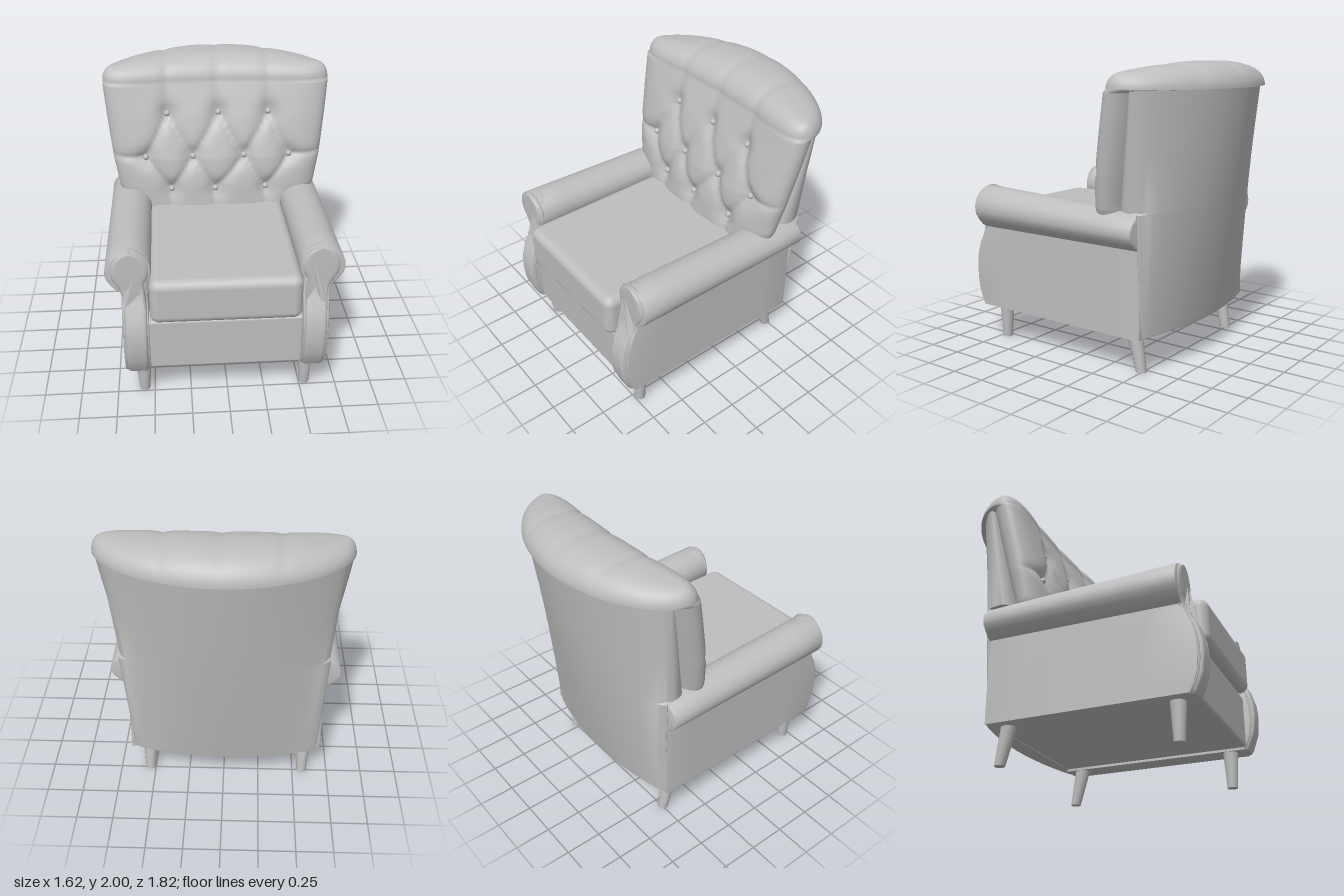
import * as THREE from 'three';
import { toCreasedNormals } from 'three/addons/utils/BufferGeometryUtils.js';
import { RoundedBoxGeometry } from 'three/addons/geometries/RoundedBoxGeometry.js';

const upholstery = new THREE.MeshStandardMaterial({ color: 0xbebebe });
upholstery.name = 'grey upholstery';

function add(parent, name, geometry) {
  const mesh = new THREE.Mesh(geometry, upholstery);
  mesh.name = name;
  parent.add(mesh);
  return mesh;
}

// piecewise linear lookup in [[key, value], ...]
function lerpTable(table, k) {
  for (let i = 1; i < table.length; i++) {
    const [k0, v0] = table[i - 1], [k1, v1] = table[i];
    if (k <= k1) return v0 + (v1 - v0) * Math.max(0, (k - k0) / (k1 - k0));
  }
  return table[table.length - 1][1];
}

// stack of closed plan outlines; rowPoint(row, s, front) gives a point, s runs -1..1 across
function loft(rows, n, rowPoint, crease = 0.7) {
  const pos = [], index = [], m = 2 * n;
  const sAt = j => Math.sin((j / n - 0.5) * Math.PI);
  rows.forEach(row => {
    for (let j = 0; j <= n; j++) pos.push(...rowPoint(row, sAt(j), true));
    for (let j = n - 1; j > 0; j--) pos.push(...rowPoint(row, sAt(j), false));
  });
  for (let r = 0; r < rows.length - 1; r++) {
    for (let i = 0; i < m; i++) {
      const a = r * m + i, b = r * m + (i + 1) % m;
      index.push(a, b, b + m, a, b + m, a + m);
    }
  }
  // caps, stitched from front edge to back edge
  const top = (rows.length - 1) * m;
  for (let j = 0; j < n; j++) {
    const q = [j, j + 1, (m - j - 1) % m, (m - j) % m];
    index.push(q[0], q[2], q[1], q[0], q[3], q[2]);
    index.push(top + q[0], top + q[1], top + q[2], top + q[0], top + q[2], top + q[3]);
  }
  const g = new THREE.BufferGeometry();
  g.setAttribute('position', new THREE.Float32BufferAttribute(pos, 3));
  g.setIndex(index);
  return toCreasedNormals(g, crease);
}

const rounding = (s, p) => Math.sqrt(Math.max(0, 1 - Math.abs(s) ** p));

// button positions and the creases joining them
const upper = [-0.36, 0.01, 0.37].map(x => [x, 1.61]);
const middle = [-0.52, -0.18, 0.19, 0.52].map(x => [x, 1.31]);
const lower = [-0.34, -0.02, 0.35].map(x => [x, 1.07]);
const buttons = [...upper, ...middle, ...lower];
const creases = [[middle[0], [-0.8, 1.32]], [middle[3], [0.8, 1.32]]];
for (let i = 0; i < 3; i++) {
  creases.push([upper[i], middle[i]], [upper[i], middle[i + 1]], [lower[i], middle[i]], [lower[i], middle[i + 1]]);
  creases.push([upper[i], [upper[i][0], 2.3]], [lower[i], [lower[i][0], 0.8]]);
}
function tuft(x, y) {
  let d = 1, pit = 0;
  for (const [a, b] of creases) {
    const ux = b[0] - a[0], uy = b[1] - a[1];
    const t = Math.min(1, Math.max(0, ((x - a[0]) * ux + (y - a[1]) * uy) / (ux * ux + uy * uy)));
    d = Math.min(d, Math.hypot(x - a[0] - t * ux, y - a[1] - t * uy));
  }
  for (const b of buttons) pit += Math.exp(-(((x - b[0]) ** 2 + (y - b[1]) ** 2) / 0.005));
  const fade = lerpTable([[1.6, 1], [1.83, 0.5]], y);
  return fade * 0.035 * Math.exp(-Math.hypot(d, 0.008) / 0.028) + 0.035 * pit;
}

const padWidth = [[0.9, 0.64], [1.08, 0.715], [1.3, 0.755], [1.6, 0.79], [1.83, 0.812]];
const frontMiddle = [[0.95, -0.15], [1.1, -0.165], [1.3, -0.2], [1.6, -0.295], [1.83, -0.385]];
const frontEdge = [[0.9, -0.19], [1.1, -0.195], [1.3, -0.21], [1.6, -0.27], [1.83, -0.315]];
const padBack = [[0.9, -0.38], [1.1, -0.4], [1.83, -0.56]];
const padFront = (s, y) => {
  const c = lerpTable(frontMiddle, y);
  return c + (lerpTable(frontEdge, y) - c) * s * s;
};

// tufted back cushion with a roll over the top
function backCushion() {
  const rows = [];
  for (let i = 0; i < 80; i++) rows.push({ y: 0.9 + 0.93 * i / 80, phi: 0, roll: 0 });
  for (let i = 0; i <= 16; i++) rows.push({ y: 1.83, phi: i / 16 * Math.PI / 2, roll: 1 });
  return loft(rows, 90, ({ y, phi, roll }, s, front) => {
    const w = lerpTable(padWidth, y) * (1 - 0.09 * (1 - Math.cos(phi)));
    const dent = tuft(w * s, y);
    const f = padFront(s, y);
    const b = lerpTable(padBack, y) - (roll ? 0.06 + 0.29 * (1 - s * s) : 0.05 * (1 - s * s));
    const squash = Math.cos(phi) ** 0.8;
    const h = (f - b) / 2 * rounding(s, 9) * squash;
    const z = (f + b) / 2 + (front ? h - dent * squash * rounding(s, 9) : -h);
    return [w * s, y + 0.17 * Math.sin(phi) * (1 - 0.4 * s * s) - roll * dent * 0.8 * Math.sin(phi), z];
  }, 1.2);
}

// curved outer shell, stepping forward above the arms: [y, half width, front z, rear side z, rear middle z]
function backShell() {
  const rows = [[0.26, 0.64, -0.53, -0.56, -0.65], [0.28, 0.645, -0.53, -0.56, -0.655], [1.07, 0.7, -0.54, -0.58, -0.778],
    [1.08, 0.7, -0.4, -0.58, -0.78], [1.45, 0.73, -0.46, -0.58, -0.84], [1.84, 0.76, -0.53, -0.59, -0.9]];
  return loft(rows, 32, ([y, w, f, edge, mid], s, front) => {
    const b = edge + (mid - edge) * (1 - s * s);
    return [w * s - 0.01 * (1.84 - y), y, (f + b) / 2 + (front ? 1 : -1) * (f - b) / 2 * rounding(s, 24)];
  });
}

// scroll-shaped arm front: [y, inner x, outer x, front z]
const scroll = [[0.25, 0.512, 0.65, 0.845], [0.27, 0.507, 0.655, 0.86], [0.38, 0.507, 0.655, 0.9], [0.5, 0.507, 0.655, 0.912],
  [0.6, 0.507, 0.655, 0.905], [0.7, 0.507, 0.657, 0.875], [0.78, 0.507, 0.66, 0.83], [0.84, 0.505, 0.67, 0.807], [0.88, 0.495, 0.7, 0.805]];
for (let a = -40; a <= 85; a += 12.5) {
  const t = a * Math.PI / 180;
  scroll.push([0.99 + 0.13 * Math.sin(t), 0.612 - 0.13 * Math.cos(t), 0.612 + 0.13 * Math.cos(t), 0.807]);
}
const scrollFront = scroll.map(r => [r[0], r[3]]);
function armFront(side) {
  return loft(scroll, 16, ([y, x0, x1, f], s, front) => {
    const b = f - 0.1, k = rounding(s, 10);
    return [side * (x0 + x1) / 2 + s * (x1 - x0) / 2, y, (f + b) / 2 + (front ? 1 : -1) * k * 0.05];
  });
}
function armPiping(side) {
  const path = [...scroll.map(r => [r[1], r[0], r[3]]), ...scroll.slice().reverse().map(r => [r[2], r[0], r[3]])]
    .map(([x, y, z]) => new THREE.Vector3(side * x, y, z - 0.03));
  return new THREE.TubeGeometry(new THREE.CatmullRomCurve3(path), 120, 0.008, 6);
}

// arm section: side panel under a roll, sloping down to the rear, its front edge following the scroll
function arm(side) {
  const stem = [0.26, 0.32, 0.38, 0.44, 0.5, 0.56, 0.62, 0.7, 0.78, 0.84];
  const pts = [...stem.map(y => [0.66, y]), [0.69, 0.855], [0.725, 0.895]];
  for (let a = -20; a <= 215; a += 11) {
    const t = a * Math.PI / 180;
    pts.push([0.622 + 0.137 * Math.cos(t), 0.98 + 0.133 * Math.sin(t)]);
  }
  pts.push(...stem.slice().reverse().map(y => [0.51, y]));
  const shape = new THREE.Shape(pts.map(([x, y]) => new THREE.Vector2(side * x, y)));
  const g = new THREE.ExtrudeGeometry(shape, { depth: 1.32, steps: 6, bevelThickness: 0.012, bevelSize: 0.01, bevelSegments: 2 });
  g.translate(0, 0, -0.54);
  const p = g.attributes.position;
  for (let i = 0; i < p.count; i++) {
    const y = p.getY(i), z = p.getZ(i);
    if (y > 0.84) p.setY(i, 0.84 + (y - 0.84) * (1 - 0.15 * (0.8 - z)));
    else if (z > 0.7) p.setZ(i, z + (lerpTable(scrollFront, y) - 0.807) * 0.85);
  }
  return toCreasedNormals(g, 0.7);
}

// tapered leg, foot shifted by lean in z
function leg(lean) {
  const g = new THREE.CylinderGeometry(0.054, 0.036, 0.28, 12).translate(0, 0.14, 0);
  const p = g.attributes.position;
  for (let i = 0; i < p.count; i++) p.setZ(i, p.getZ(i) + lean * (1 - p.getY(i) / 0.28));
  return toCreasedNormals(g, 0.7);
}

export function createModel() {
  const chair = new THREE.Group();
  chair.name = 'armchair';

  // back
  add(chair, 'backCushion', backCushion());
  add(chair, 'backShell', backShell());
  for (const [x, y] of buttons) {
    const z = padFront(x / lerpTable(padWidth, y), y) - tuft(x, y);
    add(chair, 'button', new THREE.SphereGeometry(0.022, 14, 10)).position.set(x, y, z + 0.01);
  }

  // seat, set slightly off the centre of the back
  const base = new THREE.Group();
  base.name = 'base';
  base.position.x = -0.016;
  chair.add(base);
  add(base, 'seatBase', new RoundedBoxGeometry(1.02, 0.37, 1.4, 3, 0.02)).position.set(0, 0.45, 0.14);
  add(base, 'seatCushion', new RoundedBoxGeometry(0.985, 0.315, 1.27, 6, 0.06)).position.set(0, 0.8, 0.26);

  // arms and legs
  for (const side of [1, -1]) {
    const label = side > 0 ? 'left' : 'right';
    add(base, label + 'Arm', arm(side));
    add(base, label + 'ArmFront', armFront(side));
    add(base, label + 'ArmPiping', armPiping(side));
    add(base, label + 'FrontLeg', leg(0)).position.set(side * 0.553, 0, 0.71);
    add(base, label + 'BackLeg', leg(-0.06)).position.set(side * 0.553, 0, -0.43);
  }
  return chair;
}
